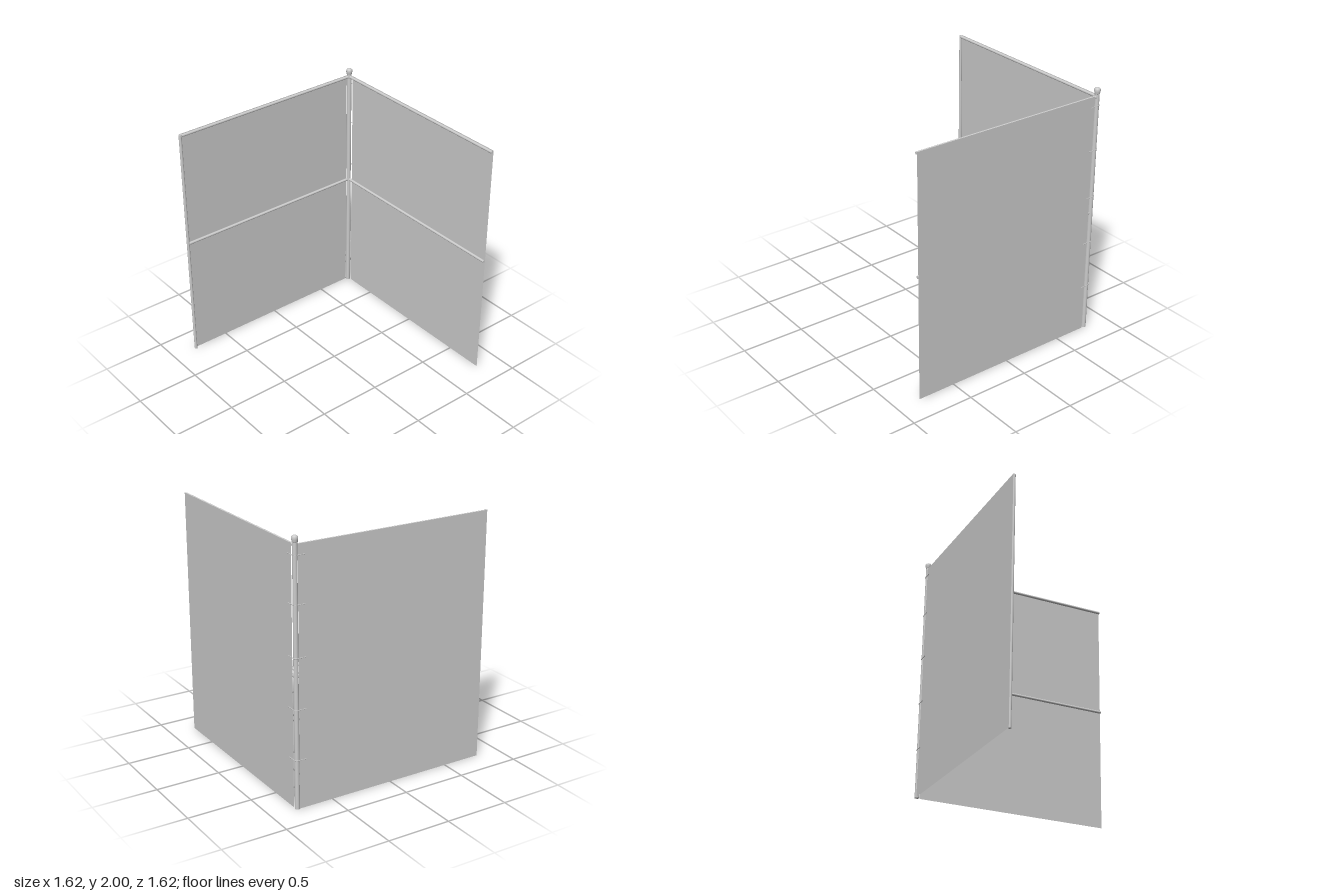
import * as THREE from 'three';

const C = 0.786;        // post centre offset
const R = 0.018;        // post radius
const RAIL = 0.011;     // rail radius
const OUT = 0.797;      // outer plane of the panels
const TOP = 1.94;

export function createModel() {
  const root = new THREE.Group();
  const mat = new THREE.MeshStandardMaterial({ color: 0xcccccc });
  const thin = new THREE.MeshStandardMaterial({ color: 0xcccccc, side: THREE.DoubleSide });

  const add = (name, geo, x = 0, y = 0, z = 0, m = mat) => {
    const mesh = new THREE.Mesh(geo, m);
    mesh.name = name;
    mesh.position.set(x, y, z);
    root.add(mesh);
    return mesh;
  };

  // round bar between two points
  const bar = (name, a, b, r) => {
    const from = new THREE.Vector3(...a), to = new THREE.Vector3(...b);
    const dir = to.clone().sub(from);
    const mesh = add(name, new THREE.CylinderGeometry(r, r, dir.length(), 20));
    mesh.position.copy(from).add(to).multiplyScalar(0.5);
    mesh.quaternion.setFromUnitVectors(new THREE.Vector3(0, 1, 0), dir.normalize());
    return mesh;
  };

  // corner post and its domed cap
  bar('cornerPost', [C, 0, -C], [C, 1.97, -C], R);
  const cap = [[0.018, 1.95], [0.021, 1.953], [0.021, 1.965], [0.024, 1.97],
    [0.024, 1.985], [0.019, 1.994], [0.01, 1.999], [0, 2]];
  add('postCap', new THREE.LatheGeometry(cap.map(p => new THREE.Vector2(...p)), 28), C, 0, -C, thin);

  // end post and rails
  bar('endPost', [-0.799, 0, -C], [-0.799, TOP, -C], RAIL);
  for (const [name, y] of [['topRail', TOP - RAIL], ['middleRail', 1.0]]) {
    bar(name + 'Back', [-0.799, y, -C], [C, y, -C], RAIL);
    bar(name + 'Side', [C, y, -C], [C, y, 0.805], RAIL);
  }

  // thin panels on the outer faces of the rails
  const backW = 0.77 + 0.806;
  add('backPanel', new THREE.PlaneGeometry(backW, TOP), 0.77 - backW / 2, TOP / 2, -OUT, thin);
  const sideW = 0.757 + 0.806;
  const side = add('sidePanel', new THREE.PlaneGeometry(sideW, TOP), OUT, TOP / 2, 0.806 - sideW / 2, thin);
  side.rotation.y = Math.PI / 2;

  // wire ties: a straight tail on each panel, joined by a loop around the post
  const loopR = R + 0.002;
  for (const y of [0.38, 0.76, 1.14, 1.52, 1.865]) {
    const pts = [new THREE.Vector3(0.72, 0, -C - loopR)];
    for (let i = 0; i <= 6; i++) {
      const a = Math.PI / 2 * (1 - i / 6);
      pts.push(new THREE.Vector3(C + loopR * Math.cos(a), 0, -C - loopR * Math.sin(a)));
    }
    pts.push(new THREE.Vector3(C + loopR, 0, -0.72));
    const path = new THREE.CurvePath();
    for (let i = 1; i < pts.length; i++) path.add(new THREE.LineCurve3(pts[i - 1], pts[i]));
    add('wireTie', new THREE.TubeGeometry(path, 48, 0.003, 6), 0, y, 0, thin);
  }
  return root;
}
